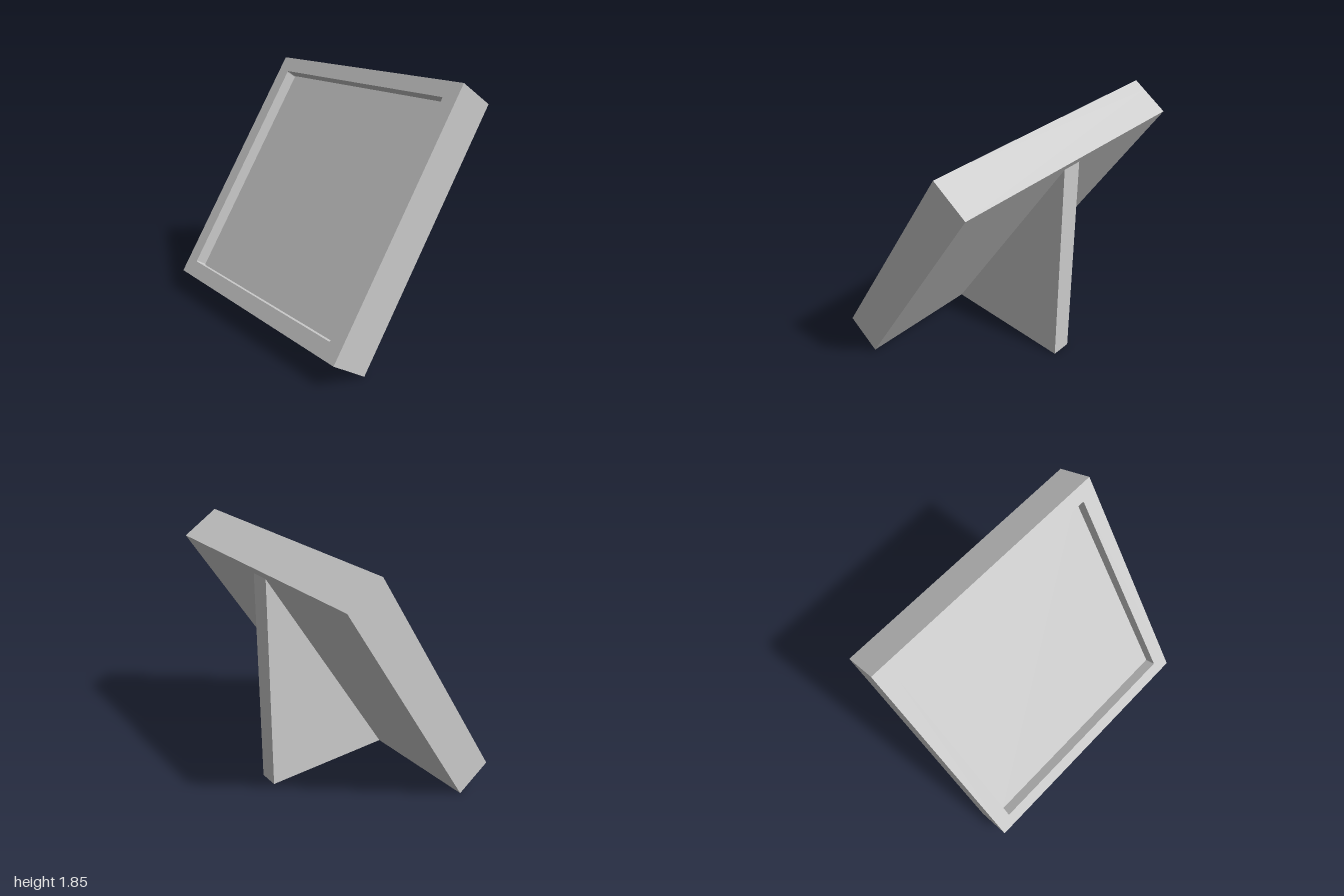
import * as THREE from 'three';

const TILT = 0.5665;   // backward lean, radians
const DEPTH = 0.308;   // full panel thickness
const RECESS = 0.09;   // depth of the front recess
const FOOT_Z = 0.406;  // where the lower back edge touches the ground

// Rectangle with small corner radius, centred on the panel
function roundedRect(path, w, h, r) {
  const x = w / 2, y = h / 2;
  path.moveTo(-x + r, -y);
  path.lineTo(x - r, -y);
  path.quadraticCurveTo(x, -y, x, -y + r);
  path.lineTo(x, y - r);
  path.quadraticCurveTo(x, y, x - r, y);
  path.lineTo(-x + r, y);
  path.quadraticCurveTo(-x, y, -x, y - r);
  path.lineTo(-x, -y + r);
  path.quadraticCurveTo(-x, -y, -x + r, -y);
  return path;
}

export function createModel() {
  const model = new THREE.Group();
  model.name = 'standingFrame';
  const material = new THREE.MeshStandardMaterial({ color: 0xcccccc });

  // Tilted square panel, hinged on its lower back edge
  const panel = new THREE.Group();
  panel.name = 'panel';
  panel.position.z = FOOT_Z;
  panel.rotation.x = -TILT;
  model.add(panel);

  // Solid back, whose front face is the recessed floor
  const plateDepth = DEPTH - RECESS;
  const backPlate = new THREE.Mesh(new THREE.BoxGeometry(2, 2, plateDepth), material);
  backPlate.name = 'backPlate';
  backPlate.position.set(0, 1, plateDepth / 2);
  panel.add(backPlate);

  // Raised border around the recess
  const outline = new THREE.Shape([
    new THREE.Vector2(-1, -1), new THREE.Vector2(1, -1),
    new THREE.Vector2(1, 1), new THREE.Vector2(-1, 1),
  ]);
  outline.holes.push(roundedRect(new THREE.Path(), 1.76, 1.76, 0.01));
  const border = new THREE.Mesh(
    new THREE.ExtrudeGeometry(outline, { depth: RECESS, bevelEnabled: false, curveSegments: 4 }),
    material
  );
  border.name = 'border';
  border.position.set(0, 1, plateDepth);
  panel.add(border);

  // Triangular rear support: side profile drawn in (z, y), extruded across x
  const backZ = -0.63, width = 0.15;
  const topY = (FOOT_Z - backZ) / Math.tan(TILT);
  const profile = new THREE.Shape([
    new THREE.Vector2(FOOT_Z, 0),
    new THREE.Vector2(backZ, topY),
    new THREE.Vector2(backZ, 0),
  ]);
  const supportGeometry = new THREE.ExtrudeGeometry(profile, { depth: width, bevelEnabled: false });
  supportGeometry.translate(0, 0, -width / 2).rotateY(-Math.PI / 2);
  const support = new THREE.Mesh(supportGeometry, material);
  support.name = 'rearSupport';
  model.add(support);

  return model;
}
